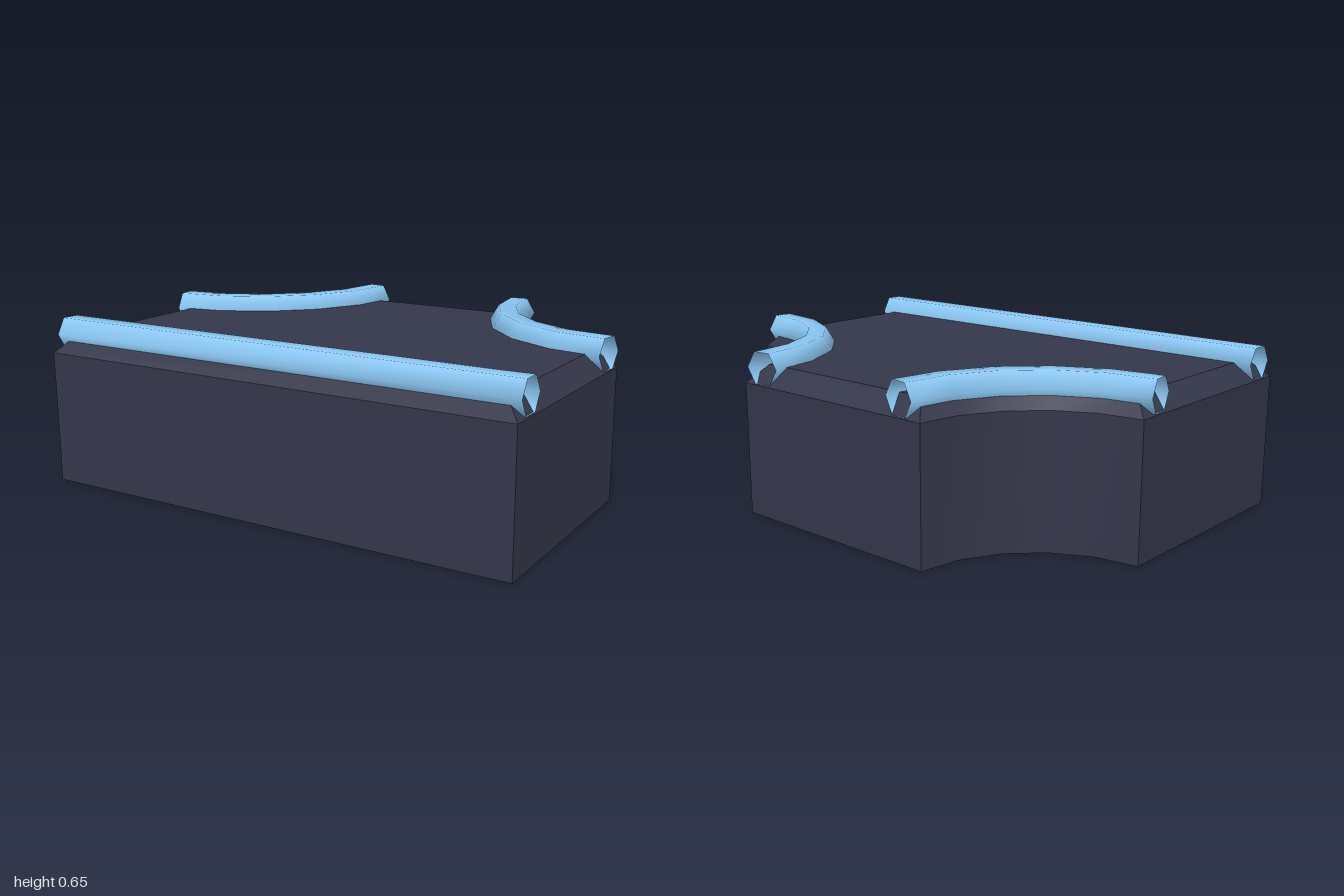
import * as THREE from 'three';
import { toCreasedNormals } from 'three/addons/utils/BufferGeometryUtils.js';

// Plan coordinates are (x, -z), so +y in plan points to the back.
const HALF = 0.989, FRONT = -0.726, BACK = 0.715;
const WALL_TOP = 0.525, TOP = 0.595, BEVEL = 0.07;
const RAIL_R = 0.071, RAIL_Y = 0.593, RAIL_INSET = 0.1, CORNER_R = 0.53;

const dark = new THREE.MeshStandardMaterial({ color: 0x34364a, side: THREE.DoubleSide });
const blue = new THREE.MeshStandardMaterial({ color: 0x8cc8f5, side: THREE.DoubleSide });

// Five-segment quarter arc around the right back corner, from side to back
function cornerArc(radius) {
  return Array.from({ length: 6 }, (_, i) => {
    const a = (i * Math.PI) / 10;
    return new THREE.Vector2(HALF - radius * Math.sin(a), BACK - radius * Math.cos(a));
  });
}
const mirror = (pts) => pts.map((p) => new THREE.Vector2(-p.x, p.y));

// Moves a closed counter-clockwise outline inwards with mitred corners
function insetOutline(pts, d) {
  const n = pts.length;
  const inward = (a, b) => {
    const e = b.clone().sub(a).normalize();
    return new THREE.Vector2(-e.y, e.x);
  };
  return pts.map((p, i) => {
    const n1 = inward(pts[(i + n - 1) % n], p);
    const n2 = inward(p, pts[(i + 1) % n]);
    const k = d / (1 + n1.dot(n2));
    return p.clone().add(n1.add(n2).multiplyScalar(k));
  });
}

function indexed(positions, index) {
  const g = new THREE.BufferGeometry();
  g.setAttribute('position', new THREE.Float32BufferAttribute(positions, 3));
  g.setIndex(index);
  return g;
}

// Closed band between two outlines at two heights
function band(lower, y0, upper, y1) {
  const pos = [], idx = [], n = lower.length;
  for (let i = 0; i < n; i++) {
    pos.push(lower[i].x, y0, -lower[i].y, upper[i].x, y1, -upper[i].y);
    const a = 2 * i, b = 2 * ((i + 1) % n);
    idx.push(a, b, b + 1, a, b + 1, a + 1);
  }
  return toCreasedNormals(indexed(pos, idx), Math.PI / 6);
}

// Open six-sided tube along a plan path
function railGeometry(path) {
  const pos = [], idx = [], sides = 6, last = path.length - 1;
  path.forEach((p, i) => {
    const before = p.clone().sub(path[Math.max(i - 1, 0)]).normalize();
    const after = path[Math.min(i + 1, last)].clone().sub(p).normalize();
    const t = before.add(after).normalize();
    for (let j = 0; j < sides; j++) {
      const a = (j / sides) * Math.PI * 2, s = RAIL_R * Math.cos(a);
      pos.push(p.x + t.y * s, RAIL_Y + RAIL_R * Math.sin(a), -(p.y - t.x * s));
      if (i === last) continue;
      const k = i * sides, m = (j + 1) % sides;
      idx.push(k + j, k + sides + j, k + sides + m, k + j, k + sides + m, k + m);
    }
  });
  const g = indexed(pos, idx);
  g.computeVertexNormals();
  return g;
}

export function createModel() {
  const model = new THREE.Group();
  model.name = 'junctionTile';
  const add = (name, geometry, material) => {
    const mesh = new THREE.Mesh(geometry, material);
    mesh.name = name;
    model.add(mesh);
  };

  // Hollow block with scooped back corners and a bevelled top, open below
  const arc = cornerArc(CORNER_R);
  const outline = [
    new THREE.Vector2(-HALF, FRONT), new THREE.Vector2(HALF, FRONT),
    ...arc, ...mirror(arc).reverse(),
  ];
  const inner = insetOutline(outline, BEVEL);
  add('blockWalls', band(outline, 0, outline, WALL_TOP), dark);
  add('topBevel', band(outline, WALL_TOP, inner, TOP), dark);
  const top = new THREE.ShapeGeometry(new THREE.Shape(inner));
  top.rotateX(-Math.PI / 2).translate(0, TOP, 0);
  add('topSurface', top, dark);

  // Straight front rail and two curved corner rails
  const railZ = FRONT + RAIL_INSET;
  add('frontRail', railGeometry([new THREE.Vector2(-HALF, railZ), new THREE.Vector2(HALF, railZ)]), blue);
  const curve = cornerArc(CORNER_R + RAIL_INSET);
  add('leftCornerRail', railGeometry(curve), blue);
  add('rightCornerRail', railGeometry(mirror(curve)), blue);

  return model;
}
